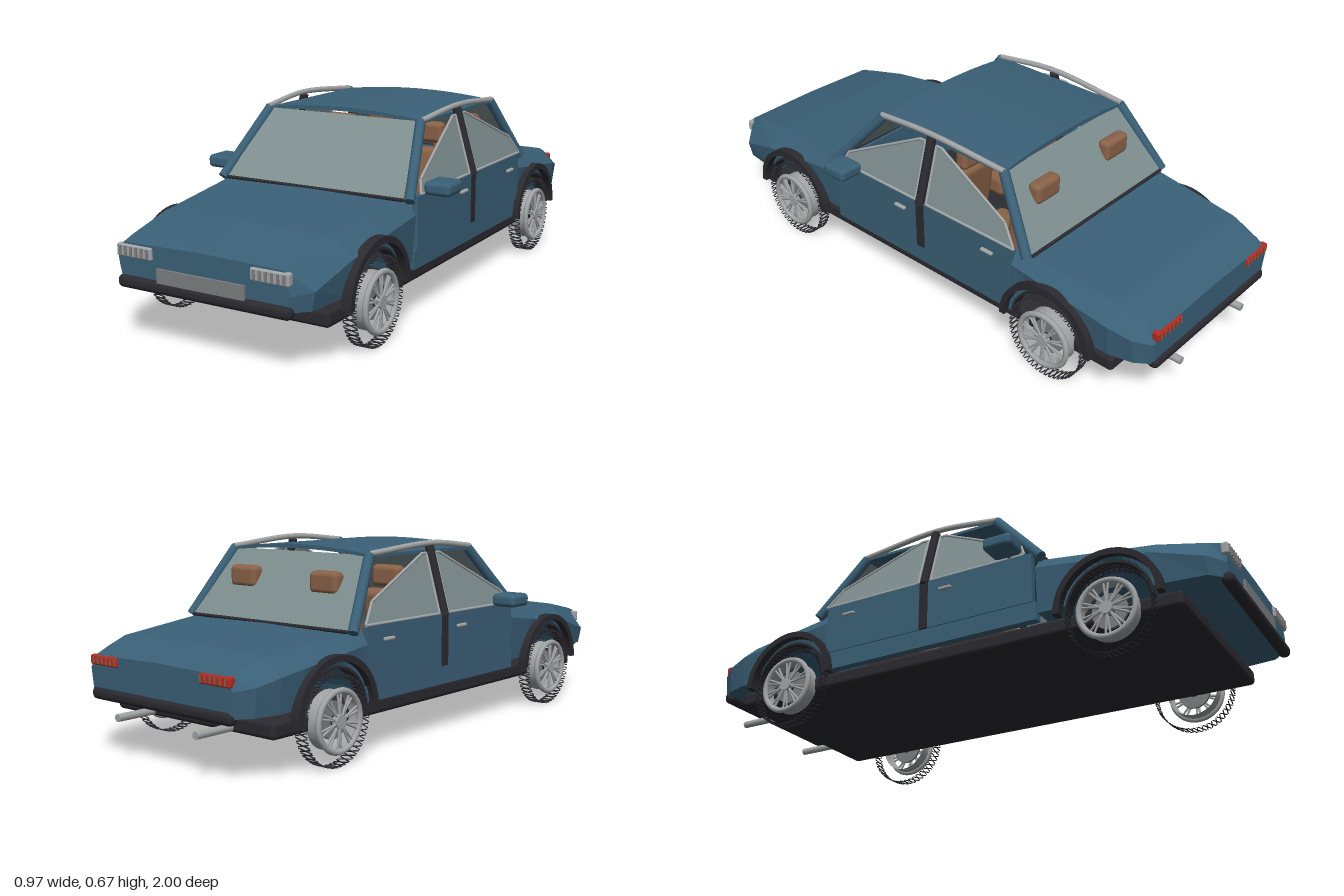
import * as THREE from 'three';
import { RoundedBoxGeometry } from 'three/addons/geometries/RoundedBoxGeometry.js';
import { mergeGeometries } from 'three/addons/utils/BufferGeometryUtils.js';

const mat = (name, color, side = THREE.FrontSide) => {
  const m = new THREE.MeshStandardMaterial({ color, side });
  m.name = name;
  return m;
};
const V = (x, y, z) => new THREE.Vector3(x, y, z);

export function createModel() {
  const car = new THREE.Group();
  car.name = 'car';
  const paint = mat('bluePaint', 0x3a6077, THREE.DoubleSide);
  const rubber = mat('blackRubber', 0x2a2a30, THREE.DoubleSide);
  const glass = mat('glass', 0x7f8f90, THREE.DoubleSide);
  const chrome = mat('chrome', 0xa2a5a6, THREE.DoubleSide);
  const plateGrey = mat('plateGrey', 0x7c7d7e);
  const red = mat('redLens', 0xb82a20);
  const leather = mat('brownLeather', 0x8a6248);

  const add = (name, geo, material, parent = car) => {
    const m = new THREE.Mesh(geo, material);
    m.name = name;
    parent.add(m);
    return m;
  };
  const box = (name, material, w, h, d, x, y, z, r = 0, parent = car) => {
    const g = r ? new RoundedBoxGeometry(w, h, d, 3, r) : new THREE.BoxGeometry(w, h, d);
    const m = add(name, g, material, parent);
    m.position.set(x, y, z);
    return m;
  };
  // straight round bar between two points
  const bar = (name, material, a, b, r, parent = car) => {
    const m = add(name, new THREE.CylinderGeometry(r, r, a.distanceTo(b), 10), material, parent);
    m.position.copy(a).add(b).multiplyScalar(0.5);
    m.quaternion.setFromUnitVectors(V(0, 1, 0), b.clone().sub(a).normalize());
    return m;
  };
  // flat convex panel
  const panel = (name, material, pts) => {
    const g = new THREE.BufferGeometry().setFromPoints(
      pts.slice(2).flatMap((p, i) => [pts[0], pts[i + 1], p]));
    g.computeVertexNormals();
    return add(name, g, material);
  };

  // Nose and tail: cross-sections along z, with the underside lifted over the wheels
  const archY = 0.165, archR = 0.145, wheelZ = 0.62;
  const bodyEnd = (name, keys) => {
    const s = Math.sign(keys[0][0]);
    const zs = keys.map(k => k[0]);
    for (let i = 0; i <= 16; i++) zs.push(s * wheelZ + archR * Math.cos(0.244 + (Math.PI - 0.488) * i / 16));
    zs.sort((a, b) => a - b);
    const at = z => {
      const i = Math.max(1, keys.findIndex(k => k[0] >= z - 1e-9));
      const a = keys[i - 1], b = keys[i], t = (z - a[0]) / (b[0] - a[0]);
      return a.map((v, n) => v + (b[n] - v) * t);
    };
    const rings = zs.map(z => {
      const [, wt, yt, w, ym] = at(z);
      const d = Math.abs(z) - wheelZ;
      const yb = Math.max(0.2, archY + Math.sqrt(Math.max(0, archR * archR - d * d)));
      const half = [[w - 0.012, yb], [w, Math.max(ym, yb + 0.012)], [wt, yt]];
      return [[0, yb], ...half, [0, yt + 0.006], ...half.reverse().map(([x, y]) => [-x, y])]
        .map(([x, y]) => V(x, y, z));
    });
    const tri = [], n = rings[0].length;
    for (let i = 0; i < rings.length - 1; i++) for (let j = 0; j < n; j++) {
      const a = rings[i][j], b = rings[i][(j + 1) % n], c = rings[i + 1][(j + 1) % n], d = rings[i + 1][j];
      tri.push(a, b, c, a, c, d);
    }
    const first = rings[0], last = rings[rings.length - 1];
    for (let j = 1; j < n - 1; j++) tri.push(last[0], last[j], last[j + 1], first[0], first[j + 1], first[j]);
    const g = new THREE.BufferGeometry().setFromPoints(tri);
    g.computeVertexNormals();
    add(name, g, paint);
  };
  // z, top half-width, top height, widest half-width, height of widest line
  bodyEnd('frontBody', [[0.37, 0.355, 0.403, 0.388, 0.36], [0.76, 0.315, 0.372, 0.385, 0.31],
    [0.93, 0.3, 0.338, 0.367, 0.26], [0.98, 0.295, 0.325, 0.315, 0.25]]);
  bodyEnd('rearBody', [[-0.985, 0.3, 0.322, 0.325, 0.28], [-0.93, 0.31, 0.342, 0.365, 0.29],
    [-0.85, 0.325, 0.367, 0.385, 0.31], [-0.465, 0.36, 0.402, 0.388, 0.36]]);

  // Chassis and bumpers
  box('chassis', rubber, 0.72, 0.055, 1.71, 0, 0.148, -0.005, 0.015);
  box('frontBumper', rubber, 0.64, 0.042, 0.04, 0, 0.2, 0.975, 0.018);
  box('rearBumper', rubber, 0.64, 0.042, 0.04, 0, 0.2, -0.975, 0.018);
  box('frontPlate', plateGrey, 0.325, 0.046, 0.008, 0, 0.238, 0.986);

  // Windscreens, cowl and roof
  panel('windscreen', glass, [V(-0.35, 0.41, 0.385), V(0.35, 0.41, 0.385), V(0.295, 0.63, 0.185), V(-0.295, 0.63, 0.185)]);
  panel('rearWindow', glass, [V(0.355, 0.405, -0.525), V(-0.355, 0.405, -0.525), V(-0.3, 0.63, -0.365), V(0.3, 0.63, -0.365)]);
  bar('cowl', rubber, V(-0.35, 0.408, 0.388), V(0.35, 0.408, 0.388), 0.006);
  bar('rearCowl', rubber, V(-0.355, 0.403, -0.527), V(0.355, 0.403, -0.527), 0.006);
  const roofShape = new THREE.Shape();
  roofShape.moveTo(-0.312, 0.622);
  roofShape.quadraticCurveTo(0, 0.656, 0.312, 0.622);
  roofShape.lineTo(0.312, 0.632);
  roofShape.quadraticCurveTo(0, 0.674, -0.312, 0.632);
  add('roof', new THREE.ExtrudeGeometry(roofShape, { depth: 0.55, bevelEnabled: false, curveSegments: 16 }), paint)
    .position.z = -0.368;

  // Half-ring lying in the side plane, used for the wheel arches
  const archGeo = (inner, outer, depth) => {
    const s = new THREE.Shape();
    s.absarc(0, 0, outer, 0, Math.PI, false);
    s.absarc(0, 0, inner, Math.PI, 0, true);
    return new THREE.ExtrudeGeometry(s, { depth, bevelEnabled: false, curveSegments: 24 }).rotateY(Math.PI / 2);
  };

  // Crossing tread strips around an open wheel
  const tread = [];
  for (let i = 0; i < 48; i++) for (const tilt of [-0.28, 0.28]) {
    tread.push(new THREE.BoxGeometry(0.05, 0.003, 0.003).rotateY(tilt)
      .translate(0, 0.1435, 0).rotateX(i * Math.PI / 24));
  }
  const treadGeo = mergeGeometries(tread);

  for (const s of [1, -1]) {
    const side = s > 0 ? 'left' : 'right';
    const sx = y => s * (0.385 - (y - 0.42) * 0.29); // leaning side of the cabin
    const P = (y, z) => V(sx(y), y, z);

    // Doors and sill
    box(side + 'Sill', paint, 0.03, 0.065, 0.84, s * 0.37, 0.208, -0.05);
    box(side + 'FrontDoor', paint, 0.024, 0.178, 0.4, s * 0.377, 0.329, 0.157);
    box(side + 'RearDoor', paint, 0.024, 0.178, 0.39, s * 0.377, 0.329, -0.272);
    for (const z of [0.03, -0.37]) box(side + 'DoorHandle', chrome, 0.014, 0.012, 0.05, s * 0.396, 0.37, z, 0.005);

    // Pillars and roof rail
    bar(side + 'FrontPillar', paint, V(s * 0.372, 0.405, 0.385), V(s * 0.305, 0.63, 0.185), 0.018);
    bar(side + 'RearPillar', paint, V(s * 0.372, 0.4, -0.52), V(s * 0.308, 0.63, -0.365), 0.018);
    box(side + 'LowerMiddlePillar', rubber, 0.026, 0.18, 0.032, s * 0.379, 0.33, -0.058);
    bar(side + 'MiddlePillar', rubber, P(0.41, -0.058), P(0.645, -0.058), 0.016);
    const rail = new THREE.CatmullRomCurve3([V(s * 0.312, 0.634, 0.19), V(s * 0.322, 0.655, -0.05), V(s * 0.312, 0.634, -0.37)]);
    add(side + 'RoofRail', new THREE.TubeGeometry(rail, 16, 0.01, 8), chrome);

    // Side windows with thin frames
    const windows = {
      FrontWindow: [P(0.42, 0.33), P(0.465, 0.31), P(0.622, -0.01), P(0.622, -0.035), P(0.42, -0.035)],
      RearWindow: [P(0.42, -0.085), P(0.622, -0.085), P(0.622, -0.11), P(0.49, -0.42), P(0.42, -0.475)],
    };
    for (const [name, pts] of Object.entries(windows)) {
      panel(side + name, glass, pts);
      pts.forEach((p, i) => bar(side + name + 'Frame', chrome, p, pts[(i + 1) % pts.length], 0.005));
    }

    // Mirror
    box(side + 'Mirror', paint, 0.095, 0.046, 0.105, s * 0.437, 0.44, 0.275, 0.016);
    bar(side + 'MirrorStem', paint, V(s * 0.37, 0.42, 0.275), V(s * 0.41, 0.435, 0.275), 0.008);

    // Lamps with upright ribs
    box(side + 'Headlight', chrome, 0.136, 0.04, 0.024, s * 0.25, 0.3, 0.977, 0.006);
    box(side + 'TailLight', red, 0.13, 0.032, 0.024, s * 0.255, 0.307, -0.98, 0.006);
    for (let i = 0; i < 6; i++) {
      const x = s * (0.25 + (i - 2.5) * 0.021);
      box(side + 'HeadlightRib', plateGrey, 0.009, 0.03, 0.006, x, 0.3, 0.989);
      box(side + 'TailLightRib', leather, 0.006, 0.022, 0.004, x, 0.307, -0.992);
    }

    // Exhaust
    bar(side + 'Exhaust', chrome, V(s * 0.18, 0.137, -0.85), V(s * 0.18, 0.137, -1), 0.013);

    // Seats
    for (const [row, z] of [['Front', 0.02], ['Rear', -0.3]]) {
      box(side + row + 'SeatBase', leather, 0.24, 0.09, 0.22, s * 0.18, 0.25, z + 0.05, 0.03);
      box(side + row + 'SeatBack', leather, 0.24, 0.26, 0.06, s * 0.18, 0.36, z - 0.09, 0.025).rotation.x = -0.15;
      box(side + row + 'Headrest', leather, 0.12, 0.075, 0.05, s * 0.185, 0.54, z - 0.132, 0.018);
    }

    // Wheels and arches
    for (const e of [1, -1]) {
      const z = e * wheelZ;
      const arch = add(side + 'WheelArch', archGeo(0.163, 0.184, 0.034), rubber);
      arch.position.set(s > 0 ? 0.373 : -0.407, archY, z);
      const lip = add(side + 'ArchLip', archGeo(0.14, 0.148, 0.04), rubber);
      lip.position.set(s > 0 ? 0.35 : -0.39, archY, z);

      const wheel = new THREE.Group();
      wheel.name = side + (e > 0 ? 'Front' : 'Rear') + 'Wheel';
      wheel.position.set(s * 0.376, 0.145, z);
      wheel.scale.x = 1;
      car.add(wheel);
      add('tread', treadGeo, rubber, wheel);
      const rim = add('rim', new THREE.TorusGeometry(0.095, 0.01, 8, 40).rotateY(Math.PI / 2), chrome, wheel);
      rim.position.x = s * 0.027;
      add('rimBarrel', new THREE.CylinderGeometry(0.094, 0.094, 0.05, 32, 1, true).rotateZ(Math.PI / 2), chrome, wheel);
      const hub = add('hub', new THREE.CylinderGeometry(0.022, 0.022, 0.02, 20).rotateZ(Math.PI / 2), chrome, wheel);
      hub.position.x = s * 0.026;
      add('brakeDisc', new THREE.CylinderGeometry(0.06, 0.06, 0.01, 24).rotateZ(Math.PI / 2), plateGrey, wheel);
      for (let i = 0; i < 10; i++) for (const o of [-0.09, 0.09]) {
        const a = i * Math.PI / 5, b = a + o;
        bar('spoke', chrome, V(s * 0.028, 0.018 * Math.cos(a), 0.018 * Math.sin(a)),
          V(s * 0.026, 0.092 * Math.cos(b), 0.092 * Math.sin(b)), 0.004, wheel);
      }
      bar('axle', rubber, V(-s * 0.1, 0, 0), V(s * 0.01, 0, 0), 0.018, wheel);
    }
  }
  return car;
}
